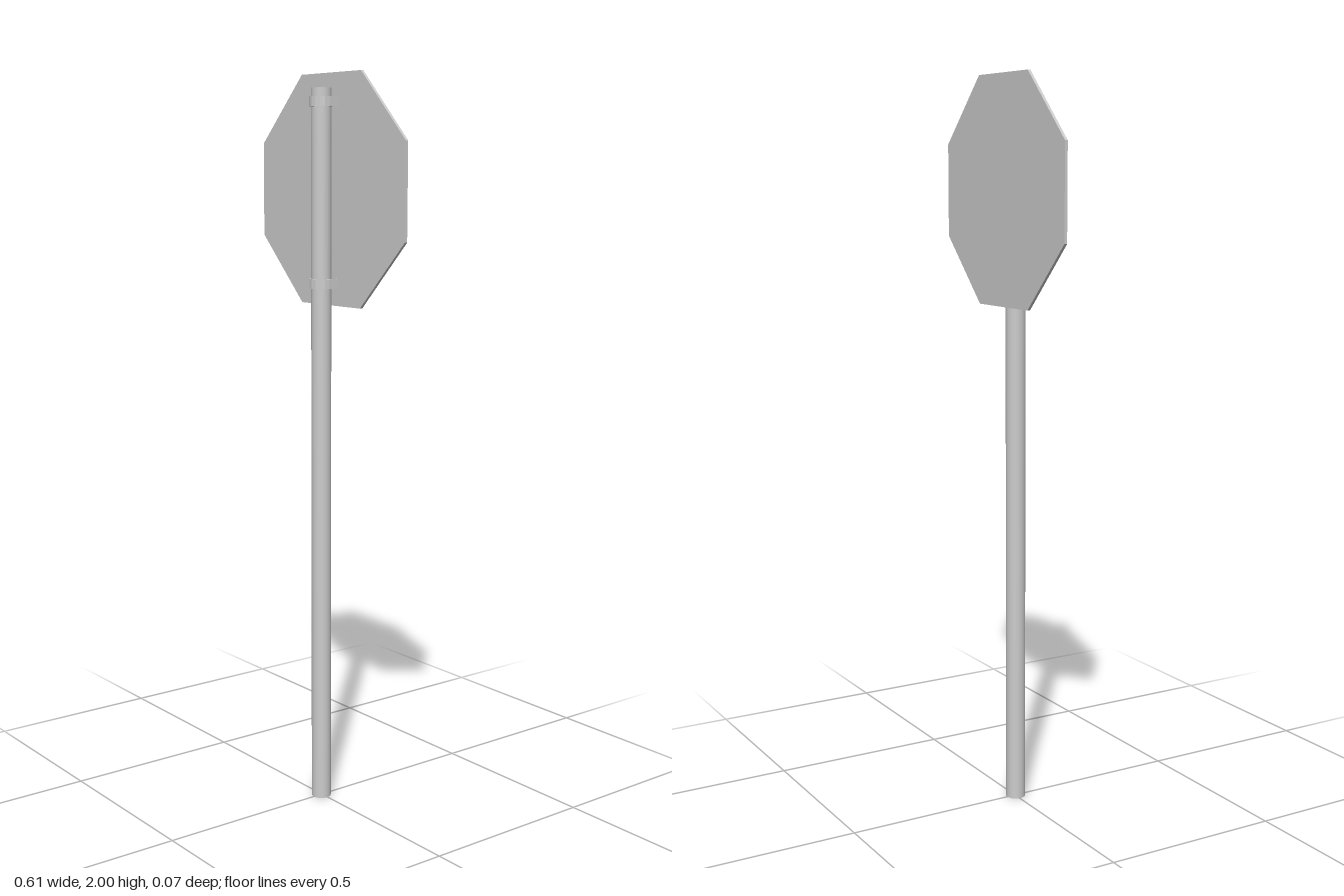
import * as THREE from 'three';

const POLE_Z = 0.002;
const PLATE_FRONT = -0.029;

export function createModel() {
  const model = new THREE.Group();
  const smooth = new THREE.MeshStandardMaterial({ color: 0xcccccc });
  const flat = new THREE.MeshStandardMaterial({ color: 0xcccccc, flatShading: true });

  const add = (name, geometry, material) => {
    const mesh = new THREE.Mesh(geometry, material);
    mesh.name = name;
    model.add(mesh);
    return mesh;
  };

  // Round post
  const pole = add('pole', new THREE.CylinderGeometry(0.027, 0.027, 1.96, 20), smooth);
  pole.position.set(0, 0.98, POLE_Z);

  // Thin octagonal plate behind the post
  const half = 0.305;
  const corners = [];
  for (let i = 0; i < 8; i++) {
    const a = (i + 0.5) * Math.PI / 4;
    const r = half / Math.cos(Math.PI / 8);
    corners.push(new THREE.Vector2(Math.cos(a) * r, Math.sin(a) * r));
  }
  const plateGeometry = new THREE.ExtrudeGeometry(new THREE.Shape(corners), { depth: 0.008, bevelEnabled: false });
  const plate = add('signPlate', plateGeometry, flat);
  plate.position.set(0, 2 - half, PLATE_FRONT - 0.008);

  // U-shaped clamps wrapped around the front of the post
  const arc = (r) => Array.from({ length: 9 }, (_, i) => {
    const a = i * Math.PI / 8;
    return new THREE.Vector2(Math.cos(a) * r, POLE_Z - 0.001 + Math.sin(a) * r);
  });
  const outline = [
    new THREE.Vector2(0.033, PLATE_FRONT), ...arc(0.033), new THREE.Vector2(-0.033, PLATE_FRONT),
    new THREE.Vector2(-0.0275, PLATE_FRONT), ...arc(0.0275).reverse(), new THREE.Vector2(0.0275, PLATE_FRONT),
  ];
  const height = 0.026;
  const clampGeometry = new THREE.ExtrudeGeometry(new THREE.Shape(outline), { depth: height, bevelEnabled: false });
  clampGeometry.rotateX(Math.PI / 2).translate(0, height / 2, 0);
  for (const [name, y] of [['upperClamp', 1.925], ['lowerClamp', 1.45]]) {
    add(name, clampGeometry, flat).position.y = y;
  }

  return model;
}
